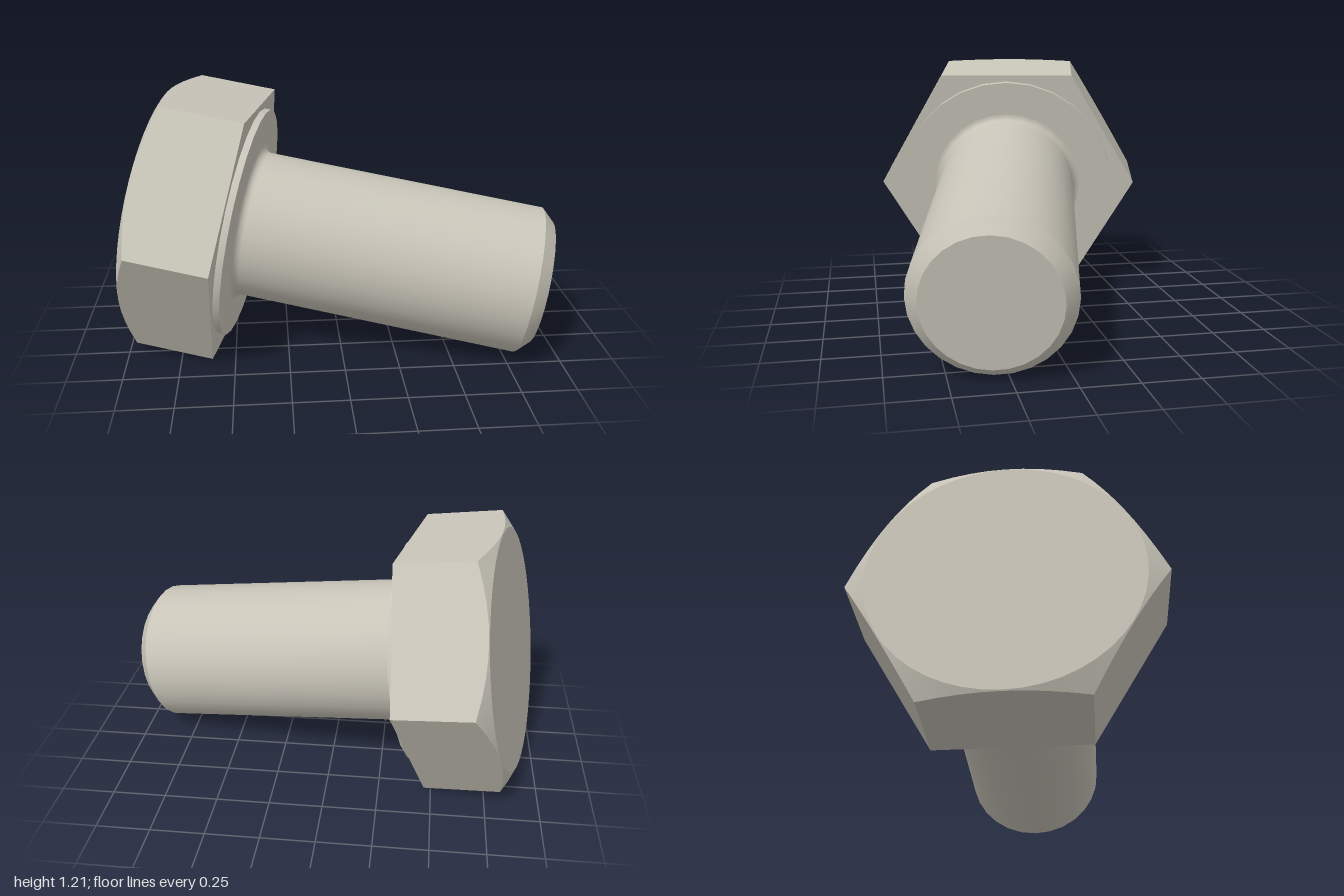
import * as THREE from 'three';
import { toCreasedNormals } from 'three/addons/utils/BufferGeometryUtils.js';

// Skin rings stacked along +y; each ring is a function angle -> [radius, y]
function loft(rings, segments) {
  const pos = [], index = [];
  for (const ring of rings) {
    for (let i = 0; i < segments; i++) {
      const t = (i / segments) * Math.PI * 2;
      const [r, y] = ring(t);
      pos.push(r * Math.cos(t), y, r * Math.sin(t));
    }
  }
  const last = rings.length - 1;
  for (let j = 0; j < last; j++) {
    for (let i = 0; i < segments; i++) {
      const k = (i + 1) % segments;
      const a = j * segments + i, b = j * segments + k;
      const c = a + segments, d = b + segments;
      if (rings[j + 1](0)[0] > 0) index.push(a, c, d); // skip collapsed triangles at centres
      if (rings[j](0)[0] > 0) index.push(a, d, b);
    }
  }
  const g = new THREE.BufferGeometry();
  g.setAttribute('position', new THREE.Float32BufferAttribute(pos, 3));
  g.setIndex(index);
  return toCreasedNormals(g, 0.4);
}

const circle = (r, y) => () => [r, y];

export function createModel() {
  const steel = new THREE.MeshStandardMaterial({ color: 0xc8c4b8 });
  steel.name = 'steel';

  const bolt = new THREE.Group();
  bolt.name = 'hexBolt';
  const add = (name, geometry) => {
    const mesh = new THREE.Mesh(geometry, steel);
    mesh.name = name;
    bolt.add(mesh);
  };

  // Hexagonal head, its outer corners cut by a 30 degree cone
  const apothem = 0.576, height = 0.42, discR = 0.572;
  const hexR = t => {
    const sector = Math.PI / 3;
    return apothem / Math.cos(((t + 1e-9) % sector) - sector / 2);
  };
  const coneY = t => -height + (hexR(t) - discR) * Math.tan(Math.PI / 6);
  add('head', loft([
    circle(0, -height),
    circle(discR, -height),
    t => [hexR(t), coneY(t)],
    t => [hexR(t), 0],
    circle(0, 0),
  ], 48));

  // Raised round bearing face under the head
  const washer = 0.03;
  add('washerFace', loft([
    circle(0.545, 0), circle(0.545, washer), circle(0, washer),
  ], 28));

  // Shank: fillet at the root, straight body, chamfered tip
  const shankR = 0.345, fillet = 0.035, tipY = 1.42, chamfer = 0.06;
  const shank = [];
  for (let i = 0; i <= 6; i++) {
    const a = (i / 6) * Math.PI / 2;
    shank.push(circle(shankR + fillet * (1 - Math.sin(a)), washer + fillet * (1 - Math.cos(a))));
  }
  shank.push(
    circle(shankR, tipY - chamfer),
    circle(shankR - 0.057, tipY),
    circle(0, tipY),
  );
  add('shank', loft(shank, 28));

  // Lay the bolt down, resting on a head flat and the tip
  const axis = new THREE.Vector3(1, -0.172, 0.214).normalize();
  const side = new THREE.Vector3(-axis.z, 0, axis.x).normalize();
  const third = new THREE.Vector3().crossVectors(side, axis);
  bolt.quaternion.setFromRotationMatrix(new THREE.Matrix4().makeBasis(side, axis, third));
  bolt.position.set(-0.444, 0.568, 0.042);

  const model = new THREE.Group();
  model.name = 'model';
  model.add(bolt);
  return model;
}
